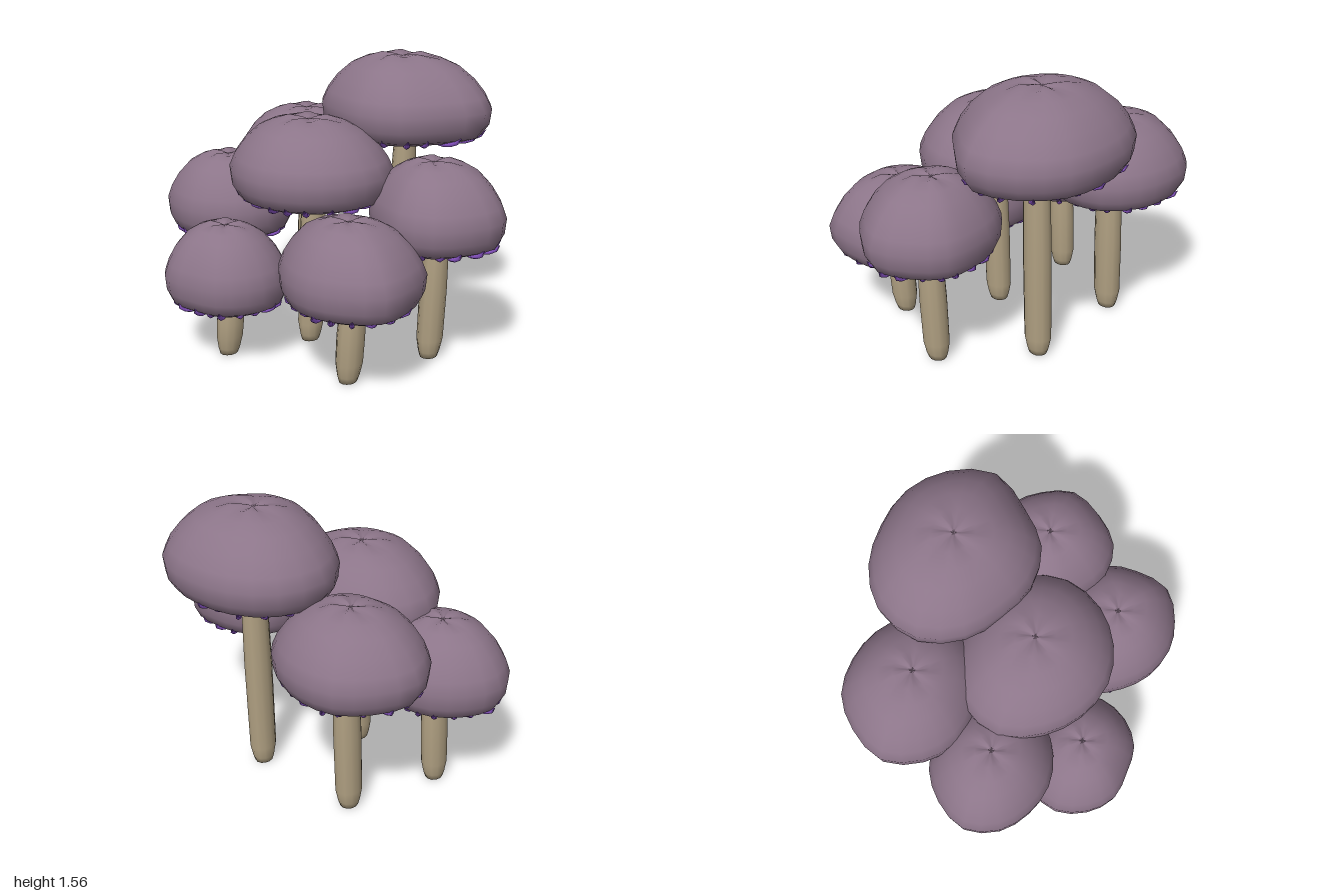
import * as THREE from 'three';
import { mergeGeometries } from 'three/addons/utils/BufferGeometryUtils.js';

const capMat = new THREE.MeshStandardMaterial({ color: 0x8c7589 });
capMat.name = 'dusty mauve';
const gillMat = new THREE.MeshStandardMaterial({ color: 0x9059cf });
gillMat.name = 'violet';
const stemMat = new THREE.MeshStandardMaterial({ color: 0xb0a082 });
stemMat.name = 'tan';

// x, z: centre; y0, y1: bottom and top of the cap; radii: cap outline every 30 degrees from +x towards +z
const mushrooms = [
  { name: 'tallBack', x: 0.18, z: -0.4, y0: 1.1, y1: 1.555, radii: [0.515, 0.44, 0.44, 0.42, 0.4, 0.44, 0.487, 0.485, 0.45, 0.43, 0.46, 0.49] },
  { name: 'centre', x: -0.06, z: 0.14, y0: 0.82, y1: 1.27, radii: [0.46, 0.44, 0.42, 0.415, 0.41, 0.43, 0.475, 0.46, 0.41, 0.39, 0.41, 0.45] },
  { name: 'backRight', x: -0.445, z: -0.365, y0: 0.76, y1: 1.2, radii: [0.4, 0.38, 0.35, 0.337, 0.37, 0.4, 0.43, 0.4, 0.395, 0.375, 0.38, 0.4] },
  { name: 'left', x: 0.593, z: -0.045, y0: 0.645, y1: 1.095, radii: [0.4, 0.37, 0.37, 0.345, 0.31, 0.33, 0.35, 0.36, 0.34, 0.33, 0.365, 0.37] },
  { name: 'right', x: -0.62, z: 0.14, y0: 0.55, y1: 1.0, radii: [0.37, 0.35, 0.327, 0.325, 0.33, 0.36, 0.38, 0.35, 0.337, 0.33, 0.34, 0.36] },
  { name: 'frontLeft', x: 0.4, z: 0.445, y0: 0.42, y1: 0.87, radii: [0.38, 0.4, 0.355, 0.34, 0.335, 0.35, 0.4, 0.39, 0.35, 0.335, 0.36, 0.39] },
  { name: 'frontRight', x: -0.32, z: 0.535, y0: 0.295, y1: 0.74, radii: [0.34, 0.325, 0.31, 0.285, 0.315, 0.33, 0.35, 0.34, 0.32, 0.295, 0.31, 0.335] },
];

// Cap section from crown to underside: fraction of outline radius, fraction of cap height
const capProfile = [
  [0, 0.975], [0.09, 0.985], [0.25, 1], [0.45, 0.95], [0.64, 0.86], [0.81, 0.71], [0.93, 0.55],
  [1, 0.4], [0.98, 0.22], [0.9, 0.09], [0.75, 0.03], [0.4, 0.06], [0, 0.09],
];

function seeded(seed) {
  let s = seed;
  return () => {
    s = (s * 16807) % 2147483647;
    return s / 2147483647;
  };
}

// Closed smooth curve through the cap outline
function outlineCurve(radii) {
  return new THREE.CatmullRomCurve3(radii.map((r, i) => {
    const a = (i / radii.length) * Math.PI * 2;
    return new THREE.Vector3(r * Math.cos(a), 0, r * Math.sin(a));
  }), true, 'centripetal');
}

// Rings of the outline, scaled by the section
function capGeometry(outline, height) {
  const n = 24, pos = [], idx = [];
  capProfile.forEach(([f, v], ring) => {
    for (let i = 0; i < n; i++) {
      const p = outline.getPoint(i / n);
      // shallow folds around the dimpled crown
      const fold = ring === 1 || ring === 2 ? 0.007 * Math.sin((i / n) * Math.PI * 10) : 0;
      pos.push(p.x * f, v * height + fold, p.z * f);
      if (ring < capProfile.length - 1) {
        const a = ring * n + i, b = ring * n + (i + 1) % n;
        idx.push(a, b, a + n, b, b + n, a + n);
      }
    }
  });
  const geo = new THREE.BufferGeometry();
  geo.setAttribute('position', new THREE.Float32BufferAttribute(pos, 3));
  geo.setIndex(idx);
  geo.computeVertexNormals();
  return geo;
}

// Wavy tubes fanning out under the cap, with tips curling up at the rim
function gillGeometry(outline, height, random) {
  const count = 20, segs = 10, sides = 6, tubes = [];
  for (let i = 0; i < count; i++) {
    const u = (i + (random() - 0.5) * 0.3) / count;
    const reach = 0.92 + random() * 0.08;
    const wave = (random() - 0.5) * 0.03;
    const at = (f, y, du) => {
      const p = outline.getPoint((u + du + 1) % 1).multiplyScalar(f);
      p.y = y * height;
      return p;
    };
    const path = new THREE.CatmullRomCurve3([
      at(0.12, 0.08, 0), at(0.42, 0.055, wave * 0.4), at(0.74 * reach, 0.025, -wave * 0.4),
      at(0.88 * reach, 0.06, wave * 0.2), at(0.96 * reach, 0.13, wave * 0.5),
    ]);
    const tube = new THREE.TubeGeometry(path, segs, 0.014, sides);
    // close the outer tip
    const end = path.getPoint(1), p = tube.attributes.position;
    for (let k = p.count - sides - 1; k < p.count; k++) p.setXYZ(k, end.x, end.y, end.z);
    tubes.push(tube);
  }
  return mergeGeometries(tubes);
}

// Stem narrowing at the foot and top, oval in plan, leaning slightly
function stemGeometry(height) {
  const pts = [[0, 0], [0.046, 0.004], [0.056, 0.04], [0.068, 0.11], [0.07, height * 0.55], [0.066, height * 0.8], [0.056, height]]
    .map(([r, y]) => new THREE.Vector2(r, y));
  const geo = new THREE.LatheGeometry(pts, 12);
  geo.scale(1, 1, 1.14);
  const p = geo.attributes.position;
  for (let i = 0; i < p.count; i++) p.setX(i, p.getX(i) + 0.03 * p.getY(i) / height);
  return geo;
}

export function createModel() {
  const model = new THREE.Group();
  model.name = 'mushroomCluster';
  mushrooms.forEach((m, i) => {
    const group = new THREE.Group();
    group.name = m.name + 'Mushroom';
    group.position.set(m.x, 0, m.z);
    const outline = outlineCurve(m.radii), height = m.y1 - m.y0;
    const add = (name, geo, mat, y) => {
      const mesh = new THREE.Mesh(geo, mat);
      mesh.name = name;
      mesh.position.y = y;
      group.add(mesh);
    };
    add('cap', capGeometry(outline, height), capMat, m.y0);
    add('gills', gillGeometry(outline, height, seeded(101 + i * 37)), gillMat, m.y0);
    add('stem', stemGeometry(m.y0 + 0.05), stemMat, 0);
    model.add(group);
  });
  return model;
}
